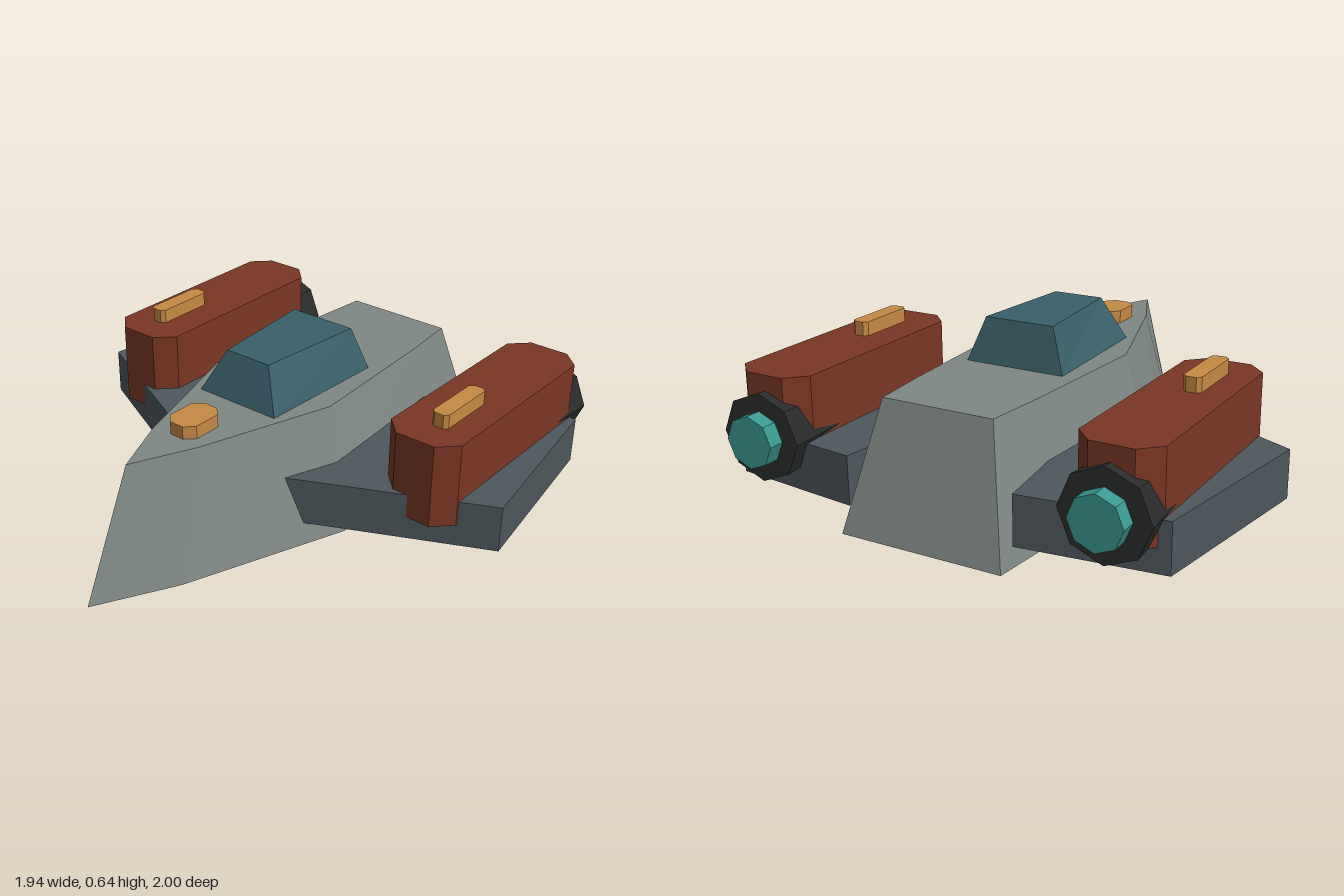
import * as THREE from 'three';

const mat = (name, color) => {
  const m = new THREE.MeshStandardMaterial({ color });
  m.name = name;
  return m;
};

// Solid between two convex [x, z] outlines, listed front -> +x -> back -> -x
function prism(bottom, y0, top, y1) {
  const b = bottom.map(([x, z]) => [x, y0, z]);
  const t = top.map(([x, z]) => [x, y1, z]);
  const n = b.length, pos = [];
  const tri = (...pts) => pts.forEach((p) => pos.push(...p));
  for (let i = 0; i < n; i++) {
    const j = (i + 1) % n;
    tri(b[i], b[j], t[j]);
    tri(b[i], t[j], t[i]);
    if (i > 0 && i < n - 1) {
      tri(t[0], t[i], t[j]);
      tri(b[0], b[j], b[i]);
    }
  }
  const g = new THREE.BufferGeometry();
  g.setAttribute('position', new THREE.Float32BufferAttribute(pos, 3));
  g.computeVertexNormals();
  return g;
}

const flip = (pts) => pts.map(([x, z]) => [-x, z]).reverse();

// Rectangle with cut corners
function cutRect(x0, x1, z0, z1, c) {
  return [[x0 + c, z1], [x1 - c, z1], [x1, z1 - c], [x1, z0 + c],
    [x1 - c, z0], [x0 + c, z0], [x0, z0 + c], [x0, z1 - c]];
}

export function createModel() {
  const model = new THREE.Group();
  model.name = 'spacecraft';

  const hullGrey = mat('hull grey', 0x7f8885);
  const wingGrey = mat('wing slate', 0x4e575c);
  const rust = mat('pod rust', 0x7a3724);
  const amber = mat('lamp amber', 0xc48a45);
  const glass = mat('canopy blue', 0x39606a);
  const dark = mat('engine black', 0x2a2c2c);
  const teal = mat('exhaust teal', 0x3a9790);

  const add = (parent, name, geometry, material) => {
    material.flatShading = true;
    const mesh = new THREE.Mesh(geometry, material);
    mesh.name = name;
    parent.add(mesh);
    return mesh;
  };

  // Hull: pointed wedge, narrower at the deck
  const hullSide = [[0.16, 0.70], [0.40, 0.053], [0.35, -0.66], [0.32, -0.96]];
  const deckSide = [[0.11, 0.535], [0.28, 0.005], [0.243, -0.59], [0.22, -0.83]];
  add(model, 'hull', prism(
    [[0, 1], ...hullSide, ...flip(hullSide)], 0,
    [[0, 0.78], ...deckSide, ...flip(deckSide)], 0.475), hullGrey);

  // Canopy
  add(model, 'canopy', prism(
    [[-0.18, 0.21], [0.18, 0.21], [0.2, -0.34], [-0.2, -0.34]], 0.475,
    [[-0.1, 0.145], [0.1, 0.145], [0.14, -0.3], [-0.14, -0.3]], 0.64), glass);

  // Nose lamp
  const lamp = cutRect(-0.065, 0.065, 0.35, 0.53, 0.035);
  add(model, 'noseLamp', prism(lamp, 0.47, lamp, 0.525), amber);

  // Wing, pod, lamp and engine on each side
  const wing = [[0.18, 0.272], [0.97, -0.10], [0.86, -0.84], [0.33, -0.90]];
  const pod = cutRect(0.53, 0.83, -0.90, 0.045, 0.07);
  const podLamp = cutRect(0.66, 0.728, -0.345, -0.08, 0.015);
  for (const s of [1, -1]) {
    const side = new THREE.Group();
    side.name = s > 0 ? 'leftWingAssembly' : 'rightWingAssembly';
    model.add(side);
    const slab = (name, pts, y0, y1, m) => {
      const p = s > 0 ? pts : flip(pts);
      add(side, name, prism(p, y0, p, y1), m);
    };
    slab('wing', wing, 0.08, 0.265, wingGrey);
    slab('pod', pod, 0.17, 0.5, rust);
    slab('podLamp', podLamp, 0.495, 0.555, amber);

    // Eight-sided cylinder along z, wider end at the back
    const drum = (name, rFront, rBack, zFront, zBack, m) => {
      const g = new THREE.CylinderGeometry(rFront, rBack, zFront - zBack, 8);
      g.rotateX(Math.PI / 2);
      add(side, name, g, m).position.set(s * 0.678, 0.28, (zFront + zBack) / 2);
    };
    drum('engineRing', 0.145, 0.165, -0.64, -0.94, dark);
    drum('exhaust', 0.098, 0.098, -0.9, -1, teal);
  }
  return model;
}
